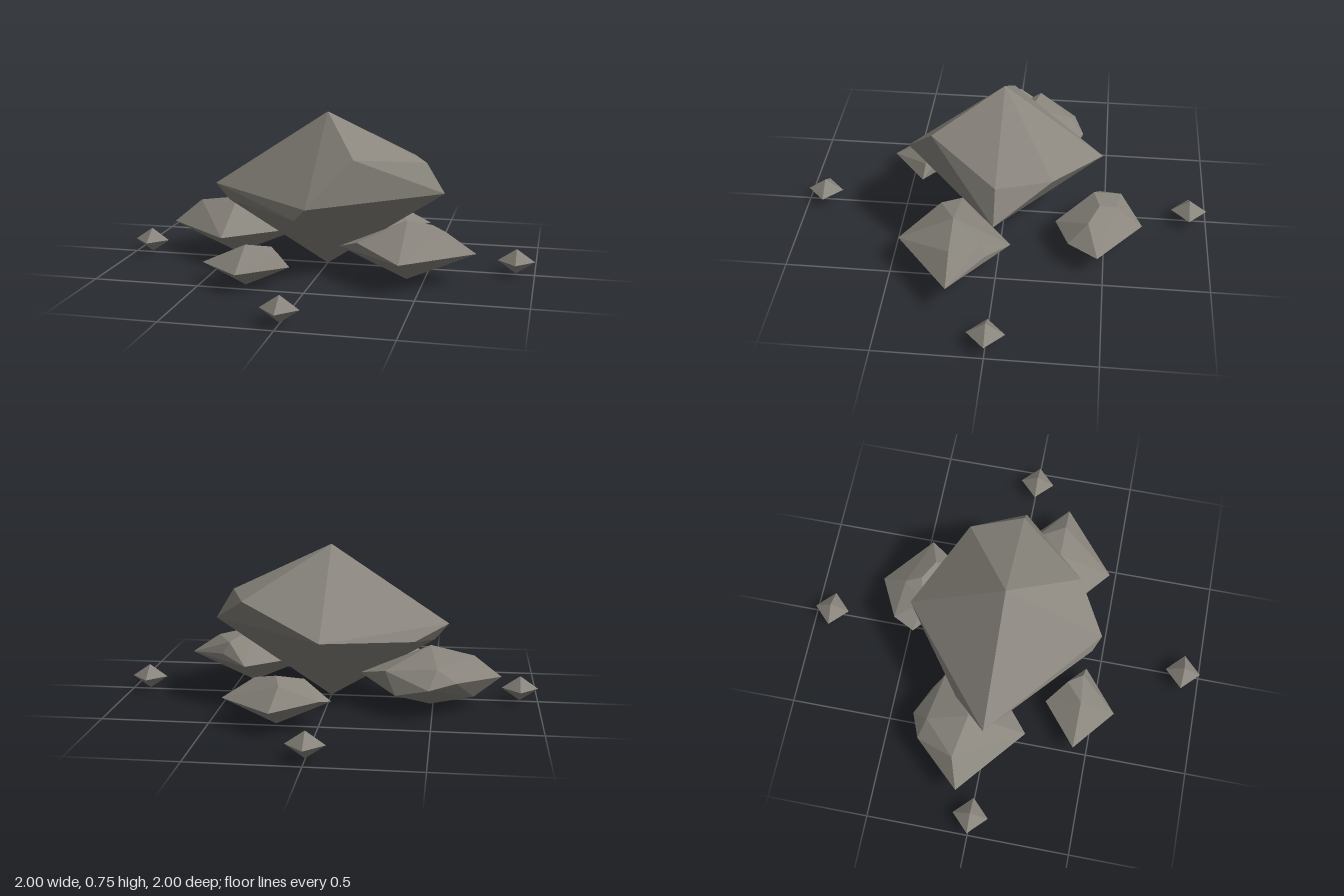
import * as THREE from 'three';
import { ConvexGeometry } from 'three/addons/geometries/ConvexGeometry.js';

const stone = new THREE.MeshStandardMaterial({ color: 0x8a867e });
stone.name = 'stone';

// Faceted rock: a stretched octahedron plus a few chipped corners
function rock(name, [x, y, z], [rx, ry, rz], chips = []) {
  const corners = [
    [x + rx, y, z], [x - rx, y, z],
    [x, y + ry, z], [x, y - ry, z],
    [x, y, z + rz], [x, y, z - rz],
    ...chips,
  ];
  const geometry = new ConvexGeometry(corners.map((c) => new THREE.Vector3(...c)));
  const mesh = new THREE.Mesh(geometry, stone);
  mesh.name = name;
  return mesh;
}

export function createModel() {
  const group = new THREE.Group();
  group.name = 'rockPile';

  // Large central boulder
  group.add(rock('mainBoulder', [0, 0.375, 0], [0.568, 0.375, 0.473], [
    [0.19, 0.58, 0.325], [0.48, 0.52, 0], [0.39, 0.51, -0.25],
    [-0.06, 0.315, 0.44], [-0.41, 0.32, -0.165], [-0.5, 0.295, 0],
  ]));

  // Medium rocks leaning around the boulder
  group.add(rock('rightRock', [-0.485, 0.145, -0.09], [0.335, 0.145, 0.28], [
    [-0.69, 0.255, -0.13], [-0.69, 0.06, -0.15], [-0.61, 0.17, -0.32],
    [-0.52, 0.225, -0.29], [-0.33, 0.1, -0.31], [-0.28, 0.2, -0.25],
  ]));
  group.add(rock('leftRock', [0.42, 0.145, 0.2], [0.32, 0.14, 0.265], [
    [0.6, 0.24, 0.2], [0.52, 0.235, 0.06], [0.55, 0.18, 0.04], [0.2, 0.19, 0.29],
  ]));
  group.add(rock('frontRock', [-0.29, 0.095, 0.43], [0.207, 0.095, 0.172], [
    [-0.14, 0.155, 0.42], [-0.19, 0.165, 0.35],
  ]));
  group.add(rock('backRock', [0.195, 0.112, -0.47], [0.25, 0.112, 0.208], [
    [0.17, 0.2, -0.55], [-0.01, 0.14, -0.575], [0.07, 0.205, -0.44],
    [0.3, 0.2, -0.42], [0.35, 0.11, -0.33],
  ]));

  // Four pebbles set around the pile
  for (let i = 0; i < 4; i++) {
    const a = (i * Math.PI) / 2;
    group.add(rock('pebble' + (i + 1),
      [0.913 * Math.cos(a), 0.065, 0.913 * Math.sin(a)], [0.087, 0.06, 0.087]));
  }
  return group;
}
